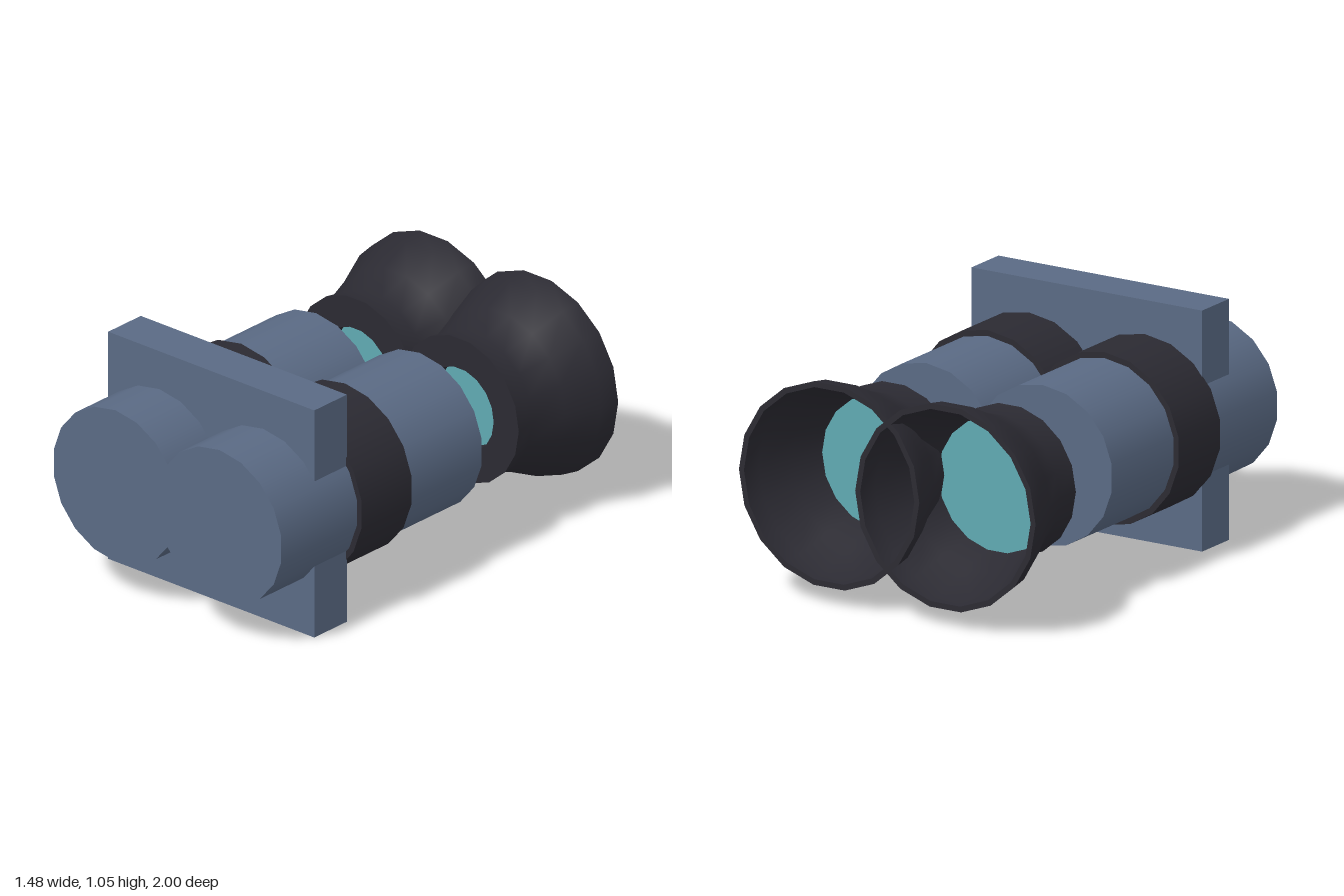
import * as THREE from 'three';
import { toCreasedNormals } from 'three/addons/utils/BufferGeometryUtils.js';

const SIDES = 18;
const AXIS_X = 0.29;
const AXIS_Y = 0.525;

const slate = new THREE.MeshStandardMaterial({ color: 0x5a6a84 });
slate.name = 'slate blue';
const rubber = new THREE.MeshStandardMaterial({ color: 0x2b2a32 });
rubber.name = 'dark rubber';
const glass = new THREE.MeshStandardMaterial({ color: 0x60a9b2, side: THREE.DoubleSide });
glass.name = 'teal glass';

function add(parent, name, geometry, material, x, y, z) {
  const mesh = new THREE.Mesh(geometry, material);
  mesh.name = name;
  mesh.position.set(x, y, z);
  parent.add(mesh);
}

// Solid cylinder along z between two z positions
function barrel(parent, name, radius, z0, z1, material) {
  const g = new THREE.CylinderGeometry(radius, radius, z1 - z0, SIDES).rotateX(Math.PI / 2);
  add(parent, name, g, material, 0, 0, (z0 + z1) / 2);
}

// Flared hollow cup: outer wall, front ring, then back along the inner wall
function eyecupGeometry() {
  const profile = [
    [0.45, -1], [0.435, -0.91], [0.365, -0.76], [0.315, -0.61], [0.33, -0.51],
    [0.19, -0.51], [0.19, -0.6], [0.292, -0.6],
    [0.342, -0.76], [0.41, -0.91], [0.425, -1], [0.45, -1],
  ].map(([r, z]) => new THREE.Vector2(r, z));
  const g = new THREE.LatheGeometry(profile, SIDES, Math.PI / 2).rotateX(Math.PI / 2);
  return toCreasedNormals(g, 0.65);
}

export function createModel() {
  const model = new THREE.Group();
  model.name = 'binoculars';

  // Two matching tubes
  for (const side of [1, -1]) {
    const tube = new THREE.Group();
    tube.name = side > 0 ? 'leftTube' : 'rightTube';
    tube.position.set(side * AXIS_X, AXIS_Y, 0);
    barrel(tube, 'barrel', 0.35, -0.26, 1, slate);
    barrel(tube, 'gripBand', 0.376, 0.21, 0.525, rubber);
    add(tube, 'eyecup', eyecupGeometry(), rubber, 0, 0, 0);
    add(tube, 'lens', new THREE.CircleGeometry(0.295, SIDES), glass, 0, 0, -0.605);
    model.add(tube);
  }

  // Upright plate around both tubes
  add(model, 'mountingPlate', new THREE.BoxGeometry(1.15, 1.05, 0.205), slate, 0, 0.525, 0.6225);

  return model;
}
